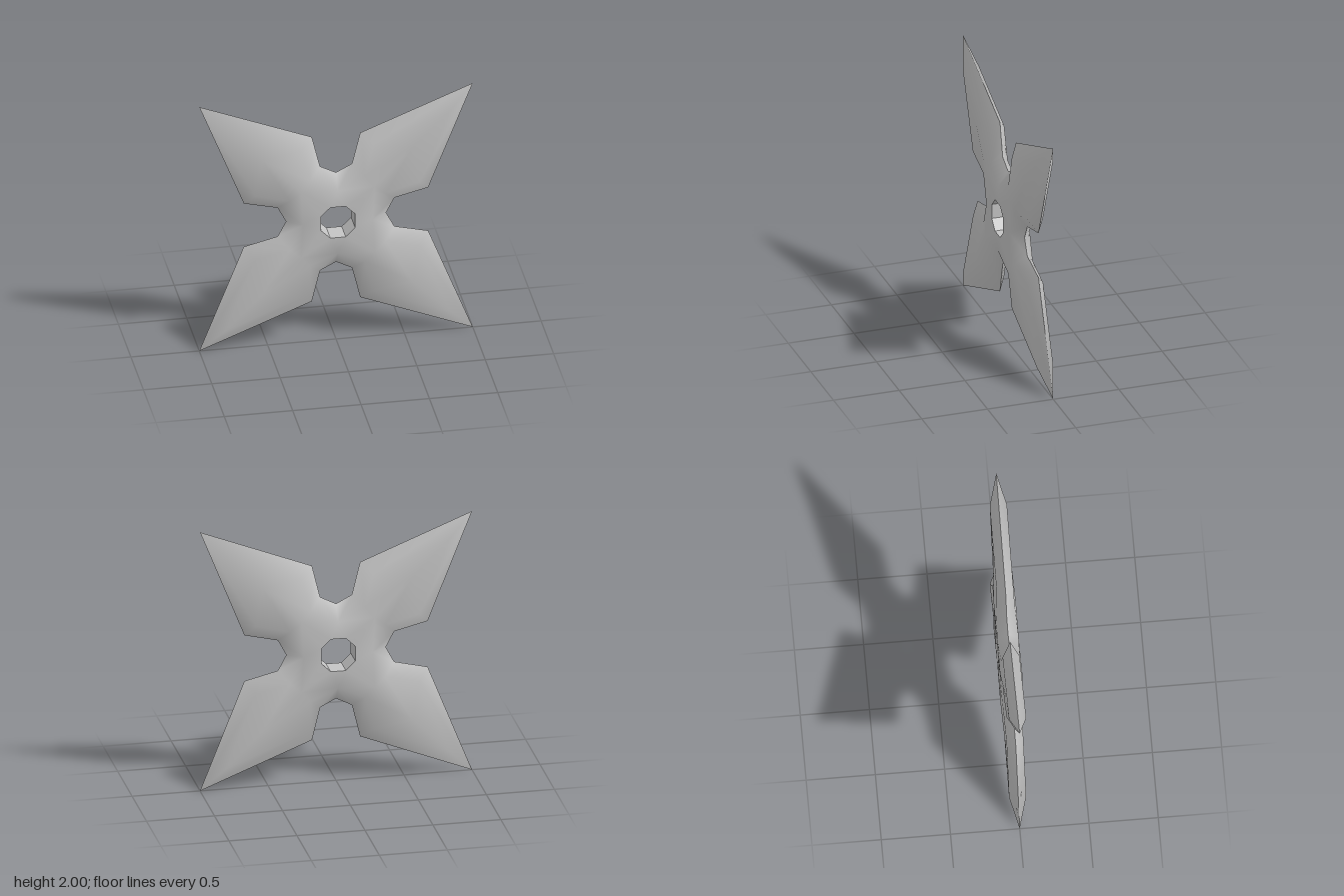
import * as THREE from 'three';
import { mergeVertices } from 'three/addons/utils/BufferGeometryUtils.js';

// One eighth of a face, between the horizontal axis and the blade diagonal
const P = {
  // raised middle, level with the blade plateau further out
  holeMid: [0.125, 0, 0.08], hole: [0.125, 0.056, 0.08], holeDiag: [0.0905, 0.0905, 0.08],
  hub: [0.255, 0, 0.077], hubDiag: [0.27, 0.27, 0.08],
  neckIn: [0.35, 0.2, 0.067], shoulderIn: [0.6, 0.262, 0.061],
  ridgeIn: [0.55, 0.55, 0.062], ridgeOut: [0.82, 0.82, 0.062],
  // sharp outline
  valley: [0.366, 0, 0], neck: [0.427, 0.117, 0], shoulder: [0.674, 0.177, 0], tip: [1, 1, 0],
};
const TRIS = [
  // plateau
  'holeMid hub hole', 'hub hubDiag hole', 'hole hubDiag holeDiag',
  'hub neckIn hubDiag', 'hubDiag neckIn ridgeIn',
  'neckIn shoulderIn ridgeIn', 'ridgeIn shoulderIn ridgeOut',
  // ground edge
  'hub valley neck', 'hub neck neckIn', 'neckIn neck shoulder',
  'neckIn shoulder shoulderIn', 'shoulderIn shoulder tip', 'shoulderIn tip ridgeOut',
].map((t) => t.split(' ').map((n) => P[n]));

// Repeats triangles round the centre, mirrored across each diagonal
function repeatRound(tris, zSign) {
  const pos = [];
  for (let k = 0; k < 4; k++) {
    const c = [1, 0, -1, 0][k], s = [0, 1, 0, -1][k];
    for (const mirror of [false, true]) {
      for (const tri of tris) {
        const pts = tri.map(([x, y, z]) => {
          const [a, b] = mirror ? [y, x] : [x, y];
          return [a * c - b * s, a * s + b * c, z * zSign];
        });
        if (mirror !== (zSign < 0)) pts.reverse();
        pts.forEach((p) => pos.push(...p));
      }
    }
  }
  const g = new THREE.BufferGeometry();
  g.setAttribute('position', new THREE.Float32BufferAttribute(pos, 3));
  return g;
}

export function createModel() {
  const steel = new THREE.MeshStandardMaterial({ color: 0xc4c4c4 });
  steel.name = 'steel';
  const model = new THREE.Group();
  model.name = 'throwingStar';
  const add = (name, geometry) => {
    geometry.computeVertexNormals();
    const mesh = new THREE.Mesh(geometry, steel);
    mesh.name = name;
    mesh.position.y = 1;
    model.add(mesh);
  };

  // Smooth front and back faces meeting at the sharp outline
  add('frontFace', mergeVertices(repeatRound(TRIS, 1), 1e-4));
  add('backFace', mergeVertices(repeatRound(TRIS, -1), 1e-4));

  // Flat-sided wall of the octagonal hole
  const back = ([x, y, z]) => [x, y, -z];
  const wall = [];
  for (const [a, b] of [[P.holeMid, P.hole], [P.hole, P.holeDiag]]) {
    wall.push([a, b, back(b)], [a, back(b), back(a)]);
  }
  add('holeWall', repeatRound(wall, 1));
  return model;
}
